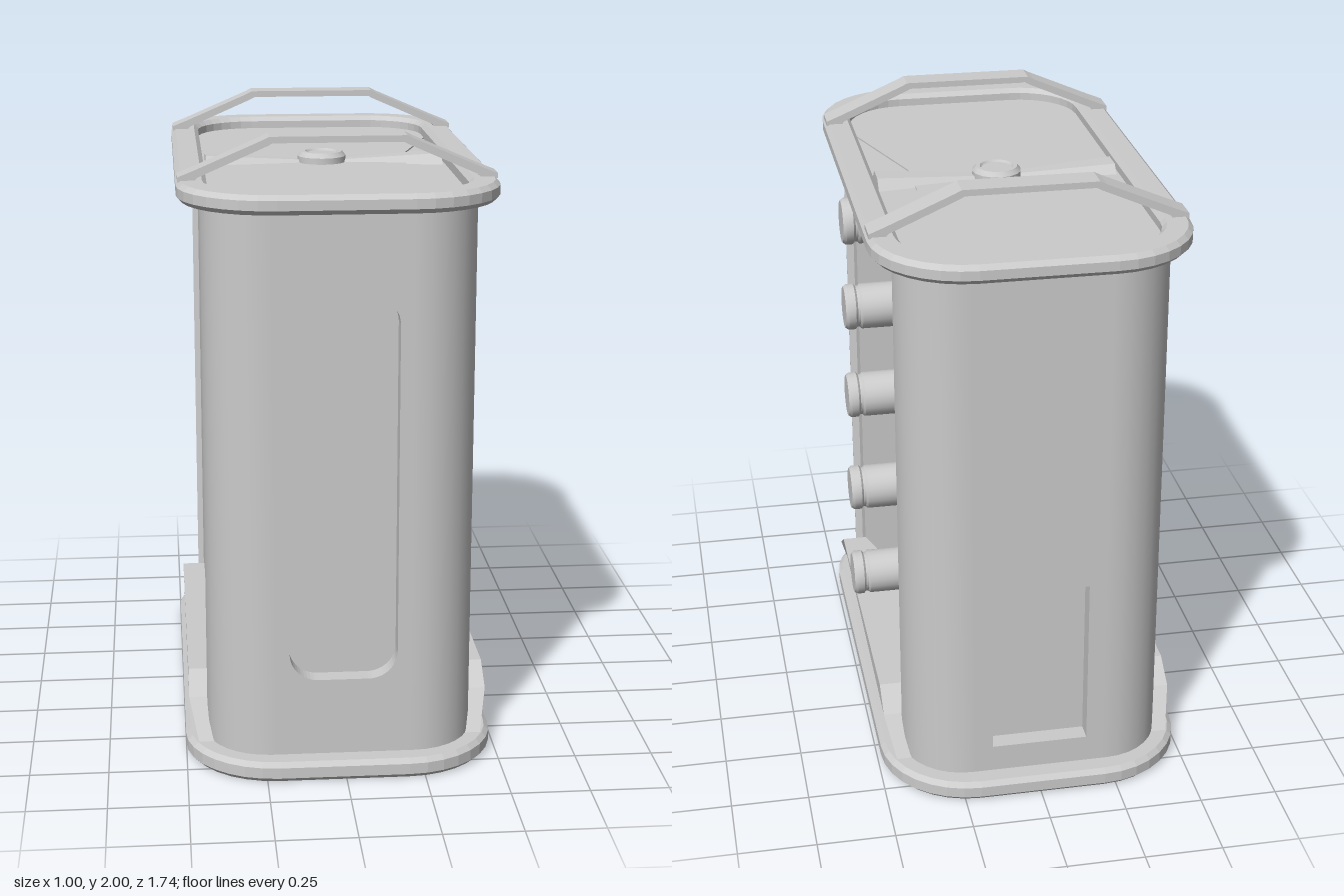
import * as THREE from 'three';
import { toCreasedNormals } from 'three/addons/utils/BufferGeometryUtils.js';

const material = new THREE.MeshStandardMaterial({ color: 0xcccccc });

function add(parent, name, geometry, x = 0, y = 0, z = 0) {
  const mesh = new THREE.Mesh(geometry, material);
  mesh.name = name;
  mesh.position.set(x, y, z);
  parent.add(mesh);
  return mesh;
}

// Rounded rectangle of half sizes w, h around (0, cy)
function roundedRect(w, h, r, cy = 0, target = new THREE.Shape()) {
  const corners = [[w - r, h - r, 0], [r - w, h - r, 1], [r - w, r - h, 2], [w - r, r - h, 3]];
  for (const [x, y, q] of corners) {
    target.absarc(x, y + cy, r, q * Math.PI / 2, (q + 1) * Math.PI / 2, false);
  }
  target.closePath();
  return target;
}

// Extrude a floor plan (shape y = -z) upwards from y0 to y1
function extrudeUp(shape, y0, y1, bevel = 0, curveSegments = 4) {
  const g = new THREE.ExtrudeGeometry(shape, {
    depth: y1 - y0 - 2 * bevel, curveSegments, bevelEnabled: bevel > 0,
    bevelThickness: bevel, bevelSize: bevel, bevelOffset: -bevel, bevelSegments: 1
  });
  g.translate(0, 0, bevel);
  g.rotateX(-Math.PI / 2);
  g.translate(0, y0, 0);
  return g;
}

// Body floor plan: rounded ends, shallow pocket front and back, angled recess on +x
function bodyGeometry() {
  const pts = [];
  const put = (x, z) => pts.push(new THREE.Vector2(x, -z));
  const arc = (sx, sz, from, to) => {
    for (let i = 0; i <= 8; i++) {
      const a = THREE.MathUtils.degToRad(from + (to - from) * i / 8);
      put(sx * 0.225 + 0.2 * Math.cos(a), sz * 0.6 + 0.2 * Math.sin(a));
    }
  };
  put(0.21, 0.74); put(0.21, 0.8);
  arc(1, 1, 90, 0);
  put(0.4, 0.59); put(0.4, 0.5); put(0.27, 0.1);
  put(0.27, -0.1); put(0.4, -0.5); put(0.4, -0.59);
  arc(1, -1, 0, -90);
  put(0.21, -0.8); put(0.21, -0.74); put(-0.21, -0.74); put(-0.21, -0.8);
  arc(-1, -1, -90, -180);
  put(-0.405, -0.59); put(-0.405, 0.59);
  arc(-1, 1, 180, 90);
  put(-0.21, 0.8); put(-0.21, 0.74);
  return toCreasedNormals(extrudeUp(new THREE.Shape(pts), 0.05, 1.83), 0.3);
}

// End plate with a window hole that fills a body pocket
function windowPlate(hole) {
  const s = new THREE.Shape();
  s.moveTo(-0.21, 0.05); s.lineTo(0.21, 0.05); s.lineTo(0.21, 1.83); s.lineTo(-0.21, 1.83);
  s.closePath();
  s.holes.push(hole);
  return new THREE.ExtrudeGeometry(s, { depth: 0.06, bevelEnabled: false, curveSegments: 6 });
}

// Rimmed plate used for lid and base
function rim(y0, y1, holeW, holeH) {
  const s = roundedRect(0.495, 0.87, 0.29);
  s.holes.push(roundedRect(holeW, holeH, 0.2, 0, new THREE.Path()));
  return extrudeUp(s, y0, y1, 0.015);
}

// Side skirt: trapezoid whose outer face leans in and follows the base corners
function skirtGeometry(side) {
  const s = new THREE.Shape([
    [-0.7, 0.05], [0.7, 0.05], [0.59, 0.185], [0.5, 0.245], [-0.5, 0.245], [-0.59, 0.185]
  ].map(([z, y]) => new THREE.Vector2(z, y)));
  const g = new THREE.ExtrudeGeometry(s, { depth: 0.28, bevelEnabled: false });
  g.rotateY(side * Math.PI / 2);
  const p = g.attributes.position;
  for (let i = 0; i < p.count; i++) {
    const outer = Math.abs(p.getX(i)) > 0.1;
    const x = !outer ? 0.22 : Math.abs(p.getZ(i)) > 0.65 ? 0.45 : 0.483;
    p.setX(i, side * x);
  }
  g.computeVertexNormals();
  return g;
}

function latheGeometry(profile, segments) {
  const pts = profile.map(([r, y]) => new THREE.Vector2(r, y));
  return toCreasedNormals(new THREE.LatheGeometry(pts, segments), 0.6);
}

export function createModel() {
  const model = new THREE.Group();
  model.name = 'canister';
  const shell = new THREE.Group();
  shell.name = 'shell';
  shell.position.x = -0.006;
  model.add(shell);

  // Body with tall front window and low back window
  add(shell, 'body', bodyGeometry());
  add(shell, 'frontWindowPlate',
    windowPlate(roundedRect(0.17, 0.615, 0.09, 0.935, new THREE.Path())), 0, 0, 0.74);
  const backHole = new THREE.Path([[-0.155, 0.16], [-0.155, 0.73], [0.155, 0.73], [0.155, 0.16]]
    .map(([x, y]) => new THREE.Vector2(x, y)));
  backHole.closePath();
  add(shell, 'backWindowPlate', windowPlate(backHole), 0, 0, -0.8);

  // Base and lid: rim plus sunken panel
  add(shell, 'baseRim', rim(0.005, 0.07, 0.41, 0.785));
  add(shell, 'basePanel', extrudeUp(roundedRect(0.44, 0.82, 0.22), 0.035, 0.06));
  add(shell, 'lidRim', rim(1.81, 1.87, 0.4, 0.78));
  add(shell, 'lidPanel', extrudeUp(roundedRect(0.44, 0.82, 0.22), 1.812, 1.825));

  for (const side of [-1, 1]) add(shell, 'sideSkirt', skirtGeometry(side));

  // Carrying handles bridging the lid
  const outer = [[0.49, 1.865], [0.49, 1.88], [0.44, 1.9], [0.23, 1.99], [0.21, 2.0]];
  const inner = [[0.2, 1.98], [0.215, 1.972], [0.43, 1.878], [0.44, 1.865]];
  const flip = ([x, y]) => [-x, y];
  const outline = [...outer, ...outer.map(flip).reverse(),
    ...inner.map(flip).reverse(), ...inner];
  const handleShape = new THREE.Shape(outline.map(([x, y]) => new THREE.Vector2(x, y)));
  for (const z of [-0.545, 0.54]) {
    add(shell, 'handle', new THREE.ExtrudeGeometry(handleShape,
      { depth: 0.088, bevelEnabled: false }), 0, 0, z - 0.044);
  }

  // Lid latch: round hub with two flaring arms
  add(shell, 'latchHub', latheGeometry([[0.08, 0], [0.08, 0.03], [0.068, 0.045],
    [0.055, 0.045], [0.05, 0.038], [0, 0.038]], 16), -0.005, 1.82, -0.005);
  for (const side of [-1, 1]) {
    const arm = new THREE.CylinderGeometry(0.075, 0.032, 0.34, 6).toNonIndexed();
    arm.rotateZ(-side * Math.PI / 2);
    arm.scale(1, 0.55, 1);
    arm.computeVertexNormals();
    add(shell, 'latchArm', arm, side * 0.22, 1.822, -0.005);
  }

  // Column of knobs standing in the side recess
  const knob = latheGeometry([[0.09, 0], [0.09, 0.045], [0.083, 0.055], [0.075, 0.055],
    [0.075, 0.185], [0.068, 0.192], [0.068, 0.2], [0.076, 0.207], [0.076, 0.23],
    [0.068, 0.24], [0, 0.24]], 20);
  knob.rotateZ(-Math.PI / 2);
  for (const y of [1.703, 1.402, 1.08, 0.727, 0.39]) add(model, 'knob', knob, 0.26, y, 0.002);

  model.position.y = -0.005 + 0.005;
  return model;
}
